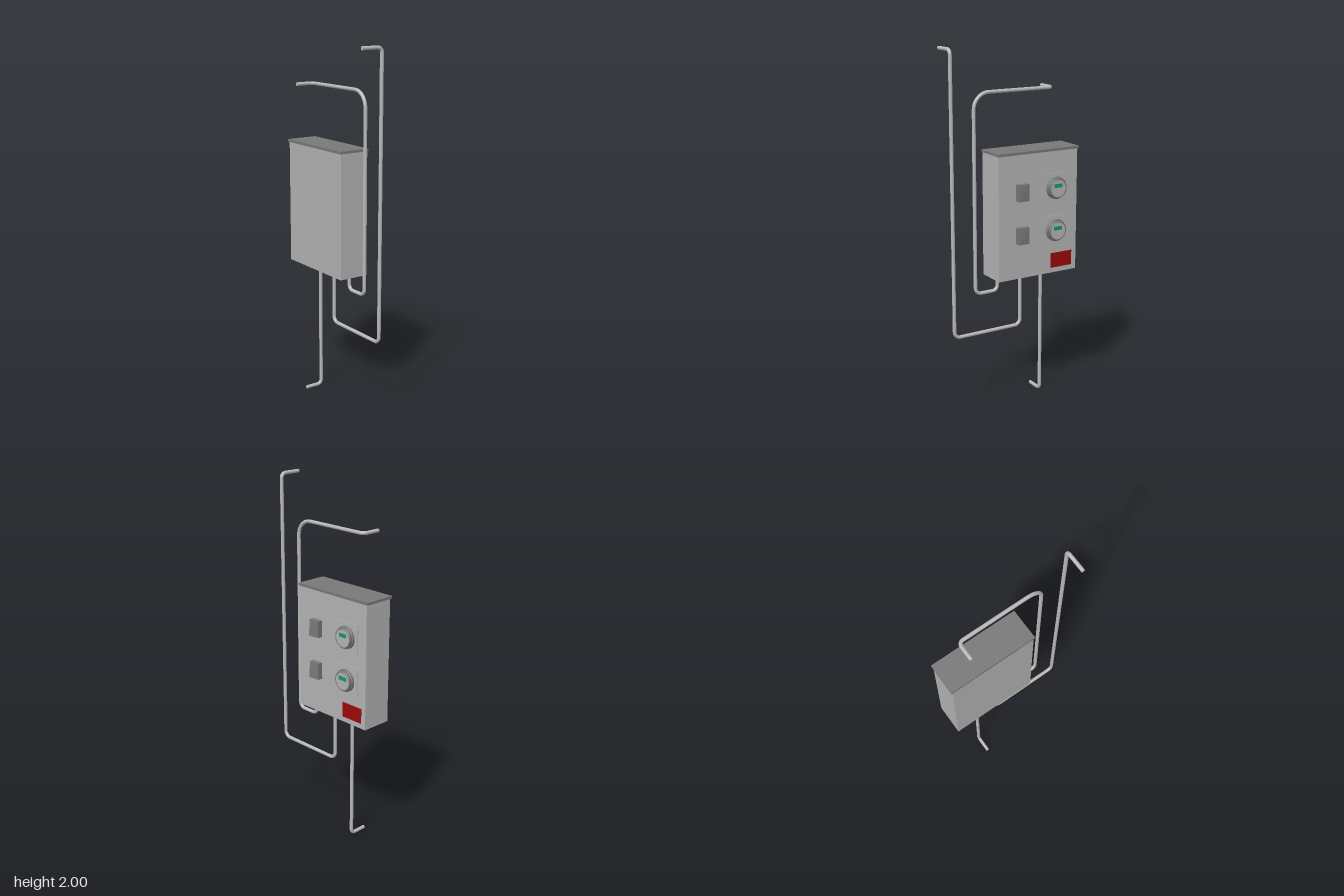
import * as THREE from 'three';
import { mergeGeometries } from 'three/addons/utils/BufferGeometryUtils.js';

const paint = (color) => new THREE.MeshStandardMaterial({ color });
const bodyGrey = paint(0xb2b2b2);
const pipeGrey = paint(0xb8b8b8);
const darkGrey = paint(0x787878);
const red = paint(0x9c0808);
const green = paint(0x14966f);
const V = (x, y, z) => new THREE.Vector3(x, y, z);

function add(parent, name, geometry, material) {
  const mesh = new THREE.Mesh(geometry, material);
  mesh.name = name;
  parent.add(mesh);
}

// Box given by its minimum and maximum corners
function span(x0, x1, y0, y1, z0, z1) {
  return new THREE.BoxGeometry(x1 - x0, y1 - y0, z1 - z0)
    .translate((x0 + x1) / 2, (y0 + y1) / 2, (z0 + z1) / 2);
}

// Round pipe through corner points, each inner corner bent at its radius
function pipeGeometry(points, bends, r = 0.01) {
  const parts = [];
  const tube = (curve, n) => parts.push(new THREE.TubeGeometry(curve, n, r, 14));
  const cap = (at, from) => {
    const q = new THREE.Quaternion().setFromUnitVectors(V(0, 0, 1), at.clone().sub(from).normalize());
    parts.push(new THREE.CircleGeometry(r, 14).applyQuaternion(q).translate(at.x, at.y, at.z));
  };
  let start = points[0];
  for (let i = 1; i < points.length - 1; i++) {
    const p = points[i], bend = bends[i - 1];
    const inDir = points[i - 1].clone().sub(p).normalize();
    const outDir = points[i + 1].clone().sub(p).normalize();
    const a = p.clone().addScaledVector(inDir, bend);
    const b = p.clone().addScaledVector(outDir, bend);
    tube(new THREE.LineCurve3(start, a), 1);
    tube(new THREE.CubicBezierCurve3(a, p.clone().addScaledVector(inDir, bend * 0.448),
      p.clone().addScaledVector(outDir, bend * 0.448), b), 10);
    start = b;
  }
  const n = points.length;
  tube(new THREE.LineCurve3(start, points[n - 1]), 1);
  cap(points[0], points[1]);
  cap(points[n - 1], points[n - 2]);
  return mergeGeometries(parts);
}

// Turned part facing +x; every profile corner is doubled to stay sharp
function turned(profile) {
  const points = profile.flatMap(([r, h]) => [new THREE.Vector2(r, h), new THREE.Vector2(r, h)]);
  return new THREE.LatheGeometry(points, 48).rotateZ(-Math.PI / 2);
}

// Round dial on a square plate, with a stepped dark rim and a lighter face
function dial(y, z) {
  const g = new THREE.Group();
  g.name = 'dial';
  g.position.set(0.087, y, z);
  add(g, 'dialPlate', span(0, 0.004, -0.083, 0.083, -0.083, 0.083), bodyGrey);
  add(g, 'dialRim', turned([[0.0615, 0], [0.0615, 0.015], [0.059, 0.018], [0.055, 0.018],
    [0.055, 0.029], [0.052, 0.032], [0.048, 0.032], [0.048, 0.028]]), darkGrey);
  add(g, 'dialFace', turned([[0.048, 0.03], [0, 0.03]]), bodyGrey);
  add(g, 'display', span(0.029, 0.032, 0.005, 0.026, -0.026, 0.026), green);
  return g;
}

// Rocker switch: box whose outer face slopes out towards the lower front corner
function rocker(y) {
  const geo = span(0.087, 0.115, y - 0.046, y + 0.046, -0.041, 0.025).toNonIndexed();
  const p = geo.attributes.position;
  for (let i = 0; i < p.count; i++) {
    if (p.getX(i) > 0.1 && p.getY(i) < y) p.setX(i, p.getZ(i) > 0 ? 0.122 : 0.117);
  }
  geo.computeVertexNormals();
  return geo;
}

export function createModel() {
  const model = new THREE.Group();
  model.name = 'controlBox';

  // Cabinet
  add(model, 'cabinet', span(-0.085, 0.087, 0.742, 1.431, -0.367, 0.133), bodyGrey);
  add(model, 'lid', span(-0.09, 0.091, 1.431, 1.445, -0.376, 0.137), darkGrey);
  add(model, 'label', span(0.086, 0.088, 0.77, 0.855, -0.338, -0.2), red);

  // Switches and dials on the right-hand panel
  for (const y of [1.227, 0.988]) {
    add(model, 'rockerSwitch', rocker(y), darkGrey);
    model.add(dial(y, -0.226));
  }

  // Pipes
  add(model, 'tallPipe', pipeGeometry([
    V(-0.122, 1.99, 0.364), V(0, 1.99, 0.364), V(0, 0.437, 0.364),
    V(0, 0.437, -0.053), V(0, 0.76, -0.053)], [0.025, 0.035, 0.035]), pipeGrey);
  add(model, 'middlePipe', pipeGeometry([
    V(-0.105, 1.763, -0.254), V(0, 1.763, -0.254), V(0, 1.763, 0.231), V(0, 0.667, 0.231),
    V(0, 0.667, 0.094), V(0, 0.76, 0.094)], [0.025, 0.09, 0.035, 0.03]), pipeGrey);
  add(model, 'lowerPipe', pipeGeometry([
    V(0, 0.76, -0.188), V(0, 0.01, -0.188), V(-0.1, 0.01, -0.188)], [0.025]), pipeGrey);

  return model;
}
